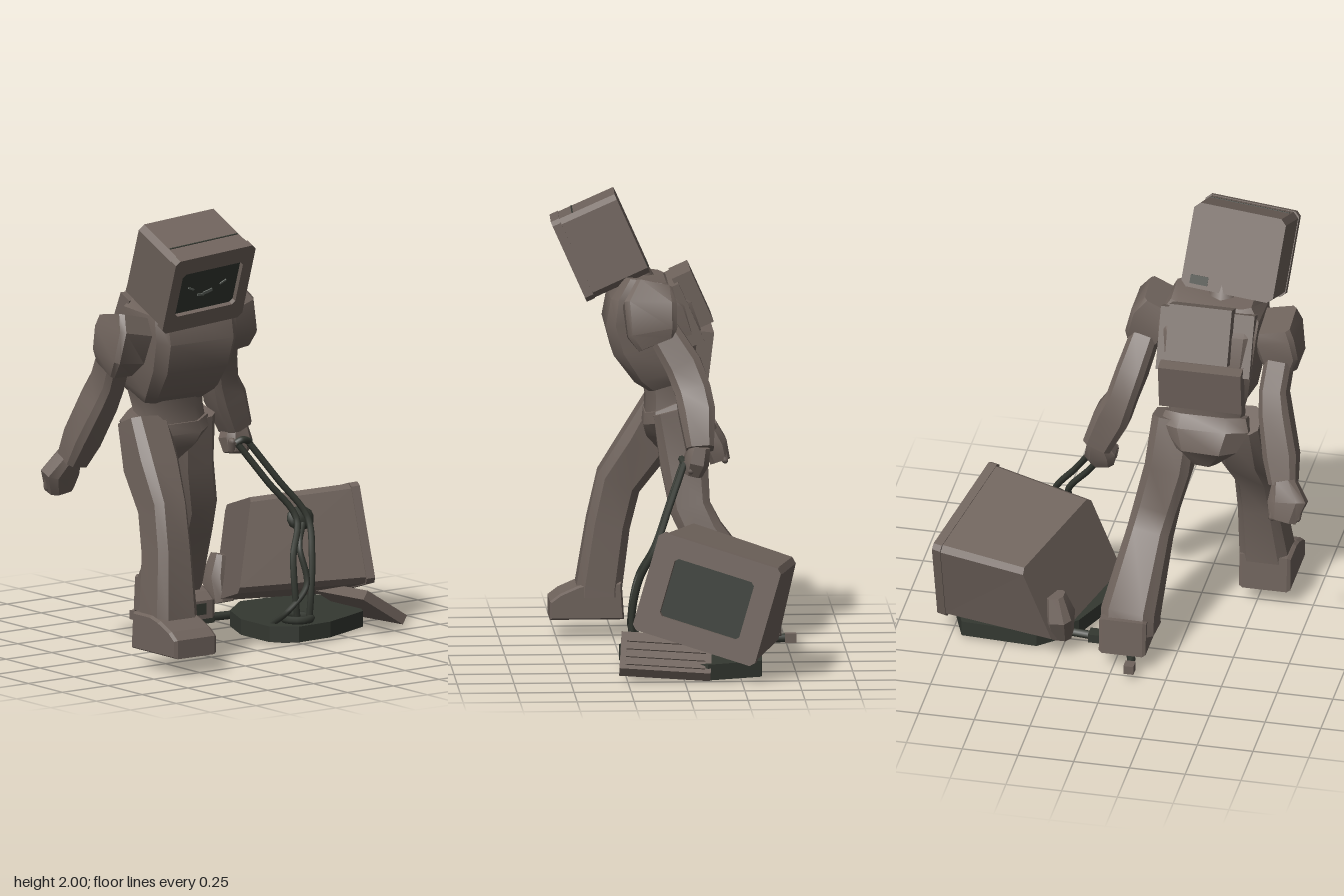
import * as THREE from 'three';
import { toCreasedNormals } from 'three/addons/utils/BufferGeometryUtils.js';

const shell = new THREE.MeshStandardMaterial({ color: 0x6f635c });
shell.name = 'dusty brown';
const dark = new THREE.MeshStandardMaterial({ color: 0x343831 });
dark.name = 'dark green';
const glow = new THREE.MeshStandardMaterial({ color: 0x6a706a });
glow.name = 'pale grey';

function add(parent, name, geo, mat, pos = [0, 0, 0], rot = [0, 0, 0]) {
  const m = new THREE.Mesh(geo, mat);
  m.name = name;
  m.position.set(...pos);
  m.rotation.set(...rot);
  parent.add(m);
  return m;
}

// Chamfered-rectangle rings [x, y, z, halfWidth, halfDepth] joined along their path
function loft(rings, c = 0.55) {
  const outline = [[1, -c], [1, c], [c, 1], [-c, 1], [-1, c], [-1, -c], [-c, -1], [c, -1]];
  const n = outline.length, pos = [], idx = [];
  const pts = rings.map(r => new THREE.Vector3(r[0], r[1], r[2]));
  rings.forEach((r, i) => {
    const t = pts[Math.min(i + 1, pts.length - 1)].clone().sub(pts[Math.max(i - 1, 0)]).normalize();
    const u = new THREE.Vector3(1, 0, 0).addScaledVector(t, -t.x).normalize();
    const w = t.clone().cross(u);
    for (const [a, b] of outline) {
      const p = pts[i].clone().addScaledVector(u, a * r[3]).addScaledVector(w, b * r[4]);
      pos.push(p.x, p.y, p.z);
    }
  });
  const last = (rings.length - 1) * n;
  for (let j = 0; j < n; j++) {
    const k = (j + 1) % n;
    for (let i = 0; i < last; i += n) idx.push(i + j, i + k, i + n + j, i + k, i + n + k, i + n + j);
    if (j > 0 && j < n - 1) idx.push(0, j + 1, j, last, last + j, last + j + 1);
  }
  const g = new THREE.BufferGeometry();
  g.setAttribute('position', new THREE.Float32BufferAttribute(pos, 3));
  g.setIndex(idx);
  return toCreasedNormals(g, 0.6);
}

function rectPath(target, w, h, r) {
  const x = w / 2, y = h / 2;
  [[-x + r, -y], [x - r, -y], [x, -y + r], [x, y - r], [x - r, y], [-x + r, y], [-x, y - r], [-x, -y + r]]
    .forEach(([a, b], i) => (i ? target.lineTo(a, b) : target.moveTo(a, b)));
  target.closePath();
  return target;
}

// Tube monitor facing +z: tapered case with a slanted back, bezel frame and recessed screen
function monitor(name, w, h, d, sw, sh, taper, slantX = 0, slantY = 0, lift = 0) {
  const g = new THREE.Group();
  g.name = name;
  const rim = 0.04, depth = d - rim;
  const body = new THREE.ExtrudeGeometry(rectPath(new THREE.Shape(), w, h, 0.025), { depth, bevelEnabled: false });
  const p = body.attributes.position;
  for (let i = 0; i < p.count; i++) {
    const back = p.getZ(i) < 0.001, s = back ? taper : 0.985;
    if (back) p.setZ(i, slantX * p.getX(i) / w + slantY * p.getY(i) / h);
    p.setXY(i, p.getX(i) * s, p.getY(i) * s + (back ? lift : 0));
  }
  body.translate(0, 0, -d / 2);
  body.computeVertexNormals();
  add(g, name + 'Case', body, shell);
  const frame = rectPath(new THREE.Shape(), w, h, 0.02);
  frame.holes.push(rectPath(new THREE.Path(), sw, sh, 0.015));
  add(g, name + 'Bezel', new THREE.ExtrudeGeometry(frame, { depth: rim, bevelEnabled: false }), shell, [0, 0, d / 2 - rim]);
  add(g, name + 'Screen', new THREE.BoxGeometry(sw, sh, 0.008), dark, [0, 0, d / 2 - 0.026]);
  return g;
}

function tube(points, radius) {
  const curve = new THREE.CatmullRomCurve3(points.map(p => new THREE.Vector3(...p)));
  return new THREE.TubeGeometry(curve, 28, radius, 7);
}

// Shoe side profile swept across its width, toe towards +z
function shoe(width) {
  const s = new THREE.Shape([[0, 0], [0.31, 0], [0.31, 0.07], [0.27, 0.1], [0.19, 0.135], [0.13, 0.15], [0.01, 0.15]]
    .map(p => new THREE.Vector2(...p)));
  const g = new THREE.ExtrudeGeometry(s, {
    depth: width - 0.03, bevelEnabled: true, bevelThickness: 0.015, bevelSize: 0.008, bevelSegments: 1,
  });
  return g.translate(0, 0, -(width - 0.03) / 2).rotateY(-Math.PI / 2);
}

function hand(parent, side, rings, fingers) {
  add(parent, side + 'Hand', loft(rings), shell);
  const [x, y, z, dx, dz] = fingers;
  for (let i = 0; i < 4; i++) {
    add(parent, side + 'Finger', new THREE.CapsuleGeometry(0.018, 0.04, 2, 6), shell,
      [x + dx * i, y, z + dz * i], [0.3, 0, 0.15]);
  }
}

export function createModel() {
  const model = new THREE.Group();
  model.name = 'screenHeadedTraveller';
  const figure = new THREE.Group();
  figure.name = 'figure';
  const cart = new THREE.Group();
  cart.name = 'cart';
  model.add(figure, cart);

  // Monitor head, bowed forward
  const head = monitor('head', 0.425, 0.385, 0.305, 0.32, 0.225, 0.98);
  head.position.set(-0.41, 1.755, 0.31);
  head.rotation.set(0.42, -0.04, 0.08, 'ZYX');
  figure.add(head);
  add(head, 'topSeam', new THREE.BoxGeometry(0.36, 0.004, 0.006), dark, [0, 0.19, 0.05]);
  add(head, 'rearVent', new THREE.BoxGeometry(0.08, 0.04, 0.006), dark, [0.13, -0.15, -0.152]);
  for (const s of [-1, 1]) {
    add(head, 'eye', new THREE.BoxGeometry(0.035, 0.008, 0.004), glow, [s * 0.085, 0.01, 0.133], [0, 0, s * 0.5]);
  }
  add(head, 'mouth', new THREE.BoxGeometry(0.05, 0.016, 0.004), glow, [0.01, -0.025, 0.133], [0, 0, 0.25]);
  add(head, 'mouthCorner', new THREE.BoxGeometry(0.035, 0.01, 0.004), glow, [-0.025, -0.034, 0.133], [0, 0, -0.1]);
  add(figure, 'neck', new THREE.CylinderGeometry(0.06, 0.08, 0.14, 8), shell, [-0.37, 1.63, 0.16], [0.4, 0, 0]);

  // Jacket, waist and hips
  add(figure, 'torso', loft([
    [-0.33, 1.16, 0.02, 0.165, 0.09], [-0.33, 1.21, 0.035, 0.195, 0.14], [-0.335, 1.35, 0.07, 0.21, 0.2],
    [-0.335, 1.48, 0.11, 0.22, 0.195], [-0.335, 1.56, 0.13, 0.22, 0.145], [-0.335, 1.63, 0.12, 0.18, 0.09],
  ], 0.78), shell);
  add(figure, 'waist', loft([
    [-0.325, 1.02, 0.03, 0.17, 0.09], [-0.325, 1.1, 0.03, 0.155, 0.085], [-0.335, 1.2, 0.03, 0.17, 0.1],
  ]), shell);
  add(figure, 'hips', loft([
    [-0.32, 0.86, -0.01, 0.06, 0.07], [-0.325, 0.94, -0.01, 0.15, 0.125],
    [-0.325, 1.02, 0.01, 0.2, 0.125], [-0.325, 1.07, 0.03, 0.18, 0.1],
  ]), shell);

  // Pack on the back
  add(figure, 'upperPack', new THREE.BoxGeometry(0.28, 0.25, 0.09), shell, [-0.315, 1.54, -0.085], [0.42, 0, 0]);
  add(figure, 'packFrame', new THREE.BoxGeometry(0.42, 0.28, 0.07), shell, [-0.335, 1.48, -0.045], [0.42, 0, 0]);
  add(figure, 'lowerPack', new THREE.BoxGeometry(0.37, 0.21, 0.07), shell, [-0.33, 1.3, -0.13], [-0.12, 0, 0]);

  // Shoulder caps
  add(figure, 'leftShoulder', loft([
    [-0.105, 1.61, 0.095, 0.07, 0.08], [-0.065, 1.54, 0.11, 0.085, 0.115],
    [-0.04, 1.42, 0.1, 0.085, 0.11], [-0.03, 1.37, 0.08, 0.065, 0.085],
  ], 0.8), shell);
  add(figure, 'rightShoulder', loft([
    [-0.61, 1.54, 0.1, 0.085, 0.09], [-0.625, 1.48, 0.11, 0.09, 0.115],
    [-0.645, 1.37, 0.1, 0.085, 0.1], [-0.645, 1.31, 0.07, 0.06, 0.07],
  ], 0.8), shell);

  // Arms
  add(figure, 'leftArm', loft([
    [-0.04, 1.42, 0.05, 0.06, 0.07], [0.0, 1.28, -0.035, 0.065, 0.08], [0.035, 1.17, -0.075, 0.065, 0.08],
    [0.075, 1.08, -0.09, 0.08, 0.08], [0.14, 0.93, -0.1, 0.065, 0.06],
  ], 0.65), shell);
  add(figure, 'rightArm', loft([
    [-0.64, 1.36, 0.06, 0.06, 0.07], [-0.63, 1.24, 0.0, 0.06, 0.075], [-0.645, 1.15, -0.04, 0.068, 0.08],
    [-0.685, 0.98, -0.11, 0.075, 0.075], [-0.705, 0.87, -0.16, 0.06, 0.06],
  ], 0.65), shell);
  hand(figure, 'left', [
    [0.14, 0.95, -0.1, 0.045, 0.045], [0.13, 0.88, -0.085, 0.07, 0.055], [0.12, 0.82, -0.07, 0.05, 0.04],
  ], [0.08, 0.86, -0.045, 0.029, -0.002]);
  hand(figure, 'right', [
    [-0.71, 0.89, -0.17, 0.05, 0.05], [-0.735, 0.81, -0.21, 0.085, 0.055], [-0.72, 0.73, -0.235, 0.06, 0.045],
  ], [-0.785, 0.765, -0.235, 0.036, -0.004]);

  // Flared trousers and shoes
  add(figure, 'rightLeg', loft([
    [-0.46, 1.05, 0.03, 0.1, 0.08], [-0.475, 0.86, 0.11, 0.1, 0.11], [-0.5, 0.69, 0.225, 0.085, 0.1],
    [-0.51, 0.5, 0.27, 0.09, 0.095], [-0.53, 0.22, 0.31, 0.11, 0.1], [-0.53, 0.18, 0.31, 0.11, 0.1],
  ], 0.65), shell);
  add(figure, 'leftLeg', loft([
    [-0.19, 1.05, 0.01, 0.1, 0.08], [-0.17, 0.83, -0.045, 0.1, 0.105], [-0.12, 0.63, -0.07, 0.095, 0.09],
    [-0.1, 0.52, -0.125, 0.095, 0.09], [-0.055, 0.22, -0.32, 0.12, 0.12], [-0.055, 0.15, -0.33, 0.12, 0.12],
  ], 0.65), shell);
  add(figure, 'rightShoe', shoe(0.23), shell, [-0.54, 0.088, 0.21]);
  add(figure, 'leftShoe', shoe(0.21), shell, [-0.045, 0.088, -0.455]);
  add(figure, 'toePatch', new THREE.BoxGeometry(0.1, 0.05, 0.006), dark, [-0.04, 0.125, -0.137]);

  // Towed monitor, leaning back on the cart
  const cargo = monitor('cargoMonitor', 0.57, 0.45, 0.53, 0.37, 0.265, 0.91, 0.07, 0.13, 0.025);
  cargo.position.set(0.485, 0.345, -0.165);
  cargo.rotation.set(-0.28, Math.PI / 2 - 0.27, 0);
  cart.add(cargo);
  add(cart, 'cargoFoot', loft([[0.25, 0.09, -0.35, 0.05, 0.05], [0.25, 0.2, -0.38, 0.06, 0.07], [0.27, 0.3, -0.38, 0.04, 0.04]]), shell);

  // Cart deck
  const deck = new THREE.Shape([[0.12, 0.18], [0.22, 0.26], [0.4, 0.25], [0.66, 0.14], [0.79, -0.1], [0.7, -0.34], [0.36, -0.36], [0.2, -0.22], [0.12, -0.03]]
    .map(([x, z]) => new THREE.Vector2(x, -z)));
  add(cart, 'deck', new THREE.ExtrudeGeometry(deck, { depth: 0.07, bevelEnabled: false }).rotateX(-Math.PI / 2), dark, [0, 0.012, 0]);
  for (const [x, z] of [[0.22, 0.16], [0.36, 0.15], [0.3, -0.2], [0.6, -0.18]]) {
    add(cart, 'deckPad', new THREE.CylinderGeometry(0.035, 0.035, 0.024, 8), dark, [x, 0.012, z]);
  }
  add(cart, 'axle', tube([[-0.09, 0.05, -0.5], [-0.07, 0.05, -0.4], [0.02, 0.05, -0.3], [0.13, 0.05, -0.28], [0.3, 0.05, -0.26]], 0.019), dark);
  add(cart, 'axleBlock', new THREE.BoxGeometry(0.08, 0.04, 0.06), dark, [0.1, 0.05, -0.28]);
  add(cart, 'axleEnd', new THREE.BoxGeometry(0.045, 0.04, 0.05), shell, [-0.09, 0.05, -0.51]);

  // Keyboard hanging off the deck
  const keyboard = new THREE.Group();
  keyboard.name = 'keyboard';
  keyboard.position.set(0.69, 0.105, 0.08);
  keyboard.rotation.set(-0.06, -0.06, -0.58);
  cart.add(keyboard);
  add(keyboard, 'keyboardCase', new THREE.BoxGeometry(0.24, 0.045, 0.4), shell);
  for (let i = 0; i < 4; i++) {
    add(keyboard, 'keyRow', new THREE.BoxGeometry(0.04, 0.008, 0.35), shell, [-0.075 + i * 0.05, 0.024, 0]);
  }

  // Tow cables, knot and coil
  for (const s of [0, 1]) {
    const o = s * 0.06;
    add(cart, 'towCable', tube([
      [0.1 + o, 0.87, -0.03], [0.21 + o, 0.7, 0.04], [0.32 + o, 0.53, 0.11],
      [0.25 + o * 1.7, 0.38, 0.18], [0.24 + o * 1.4, 0.2, 0.21], [0.26 + o, 0.08, 0.2],
    ], 0.015), dark);
  }
  add(cart, 'slackCable', tube([
    [0.36, 0.5, 0.1], [0.29, 0.42, 0.17], [0.3, 0.25, 0.21], [0.2, 0.14, 0.2], [0.18, 0.08, 0.12],
  ], 0.014), dark);
  add(cart, 'handGrip', tube([[0.09, 0.87, -0.03], [0.12, 0.885, -0.02], [0.17, 0.87, -0.03]], 0.016), dark);
  add(cart, 'cableKnot', new THREE.IcosahedronGeometry(0.055, 1).scale(1.3, 1, 0.6), dark, [0.37, 0.52, 0.07], [-0.3, 0, 0]);
  add(cart, 'cableCoil', new THREE.TorusGeometry(0.06, 0.018, 6, 14), dark, [0.28, 0.1, 0.17], [Math.PI / 2, 0, 0]);
  return model;
}
